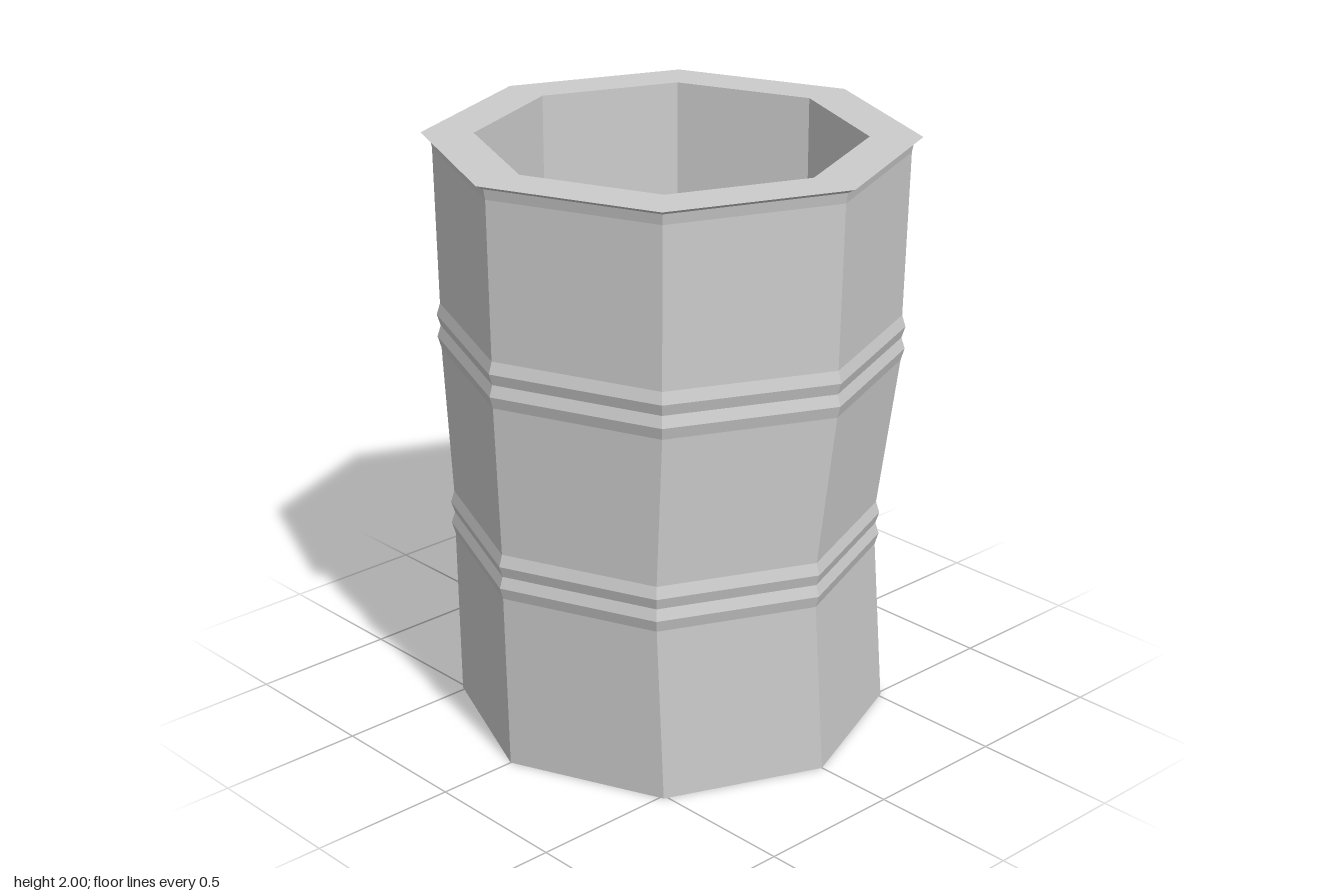
import * as THREE from 'three';

const SIDES = 8;
const material = new THREE.MeshStandardMaterial({ color: 0xcccccc, flatShading: true });

// Eight-sided shell from rings of [radius, height, sideways shift, tilt]
function shell(name, rings) {
  const geometry = new THREE.LatheGeometry(rings.map(([r, y]) => new THREE.Vector2(r, y)), SIDES);
  const pos = geometry.attributes.position;
  for (let i = 0; i < pos.count; i++) {
    const [, y, shift = 0, tilt = 0] = rings[i % rings.length];
    const x = pos.getX(i);
    pos.setX(i, x + shift);
    pos.setY(i, y + tilt * x);
  }
  const flat = geometry.toNonIndexed();
  flat.computeVertexNormals();
  const mesh = new THREE.Mesh(flat, material);
  mesh.name = name;
  return mesh;
}

// Double bead around the dented wall: two ridges with a groove between
function bead(y, groove, shift, tilt) {
  return [[0, -0.078], [0.012, -0.038], [0, 0], [0.012, 0.038], [0, 0.078]]
    .map(([out, dy]) => [groove + out, y + dy, shift, tilt]);
}

export function createModel() {
  const barrel = new THREE.Group();
  barrel.name = 'dentedBarrel';

  // Base and outer wall, pushed sideways at the lower bead
  barrel.add(shell('outerWall', [
    [0, 0],
    [0.725, 0],
    ...bead(0.672, 0.708, -0.03, -0.018),
    ...bead(1.333, 0.755, -0.003, -0.022),
    [0.765, 1.95],
    [0.772, 1.985],
    [0.8, 2],
  ]));

  // Flat rim around the opening
  barrel.add(shell('rim', [[0.8, 2], [0.63, 2]]));

  // Straight inside wall and floor
  barrel.add(shell('innerWall', [[0.63, 2], [0.63, 0.1], [0, 0.1]]));

  return barrel;
}
